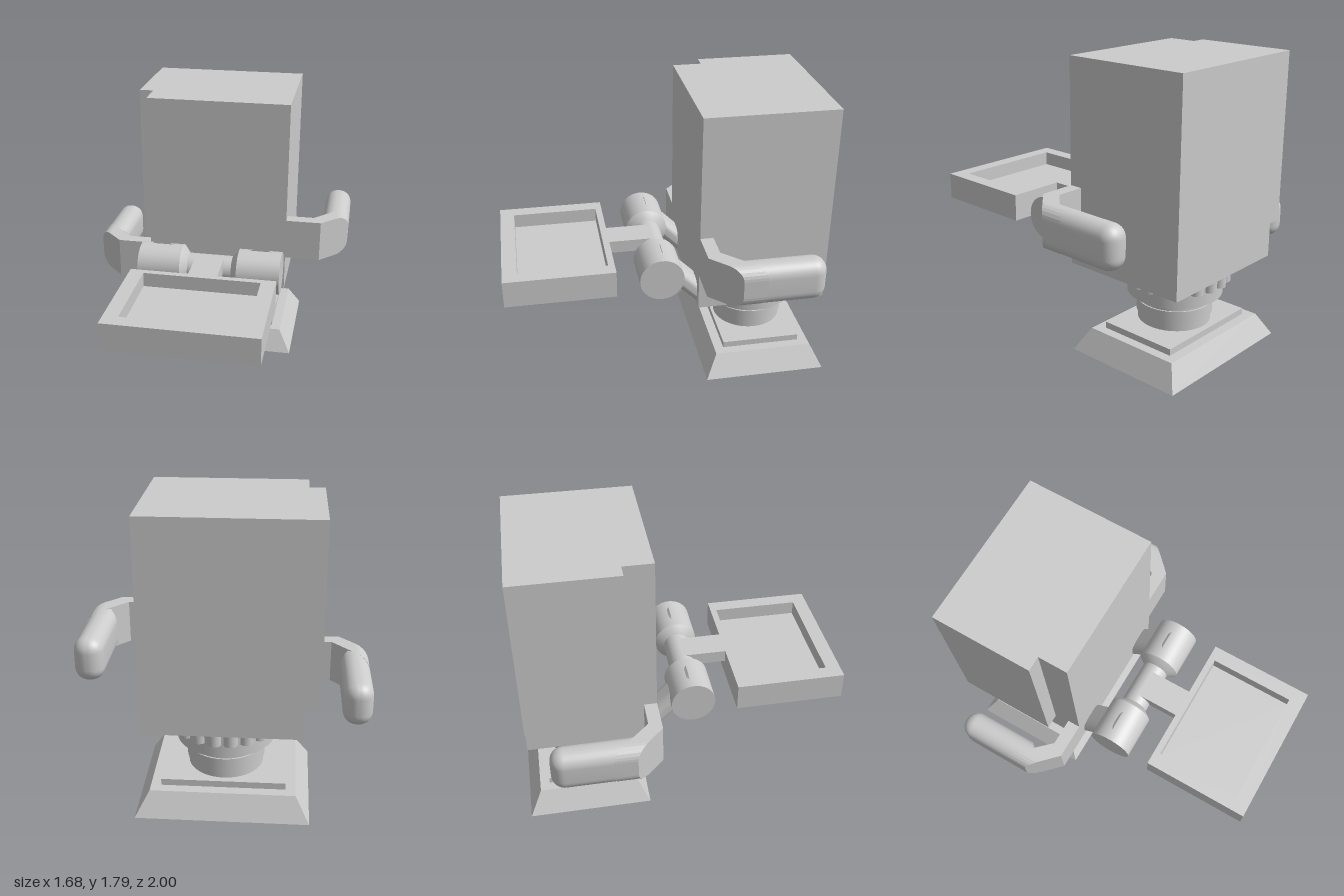
import * as THREE from 'three';
import { toCreasedNormals } from 'three/addons/utils/BufferGeometryUtils.js';
import { RoundedBoxGeometry } from 'three/addons/geometries/RoundedBoxGeometry.js';

const material = new THREE.MeshStandardMaterial({ color: 0xcccccc });

function add(parent, name, geometry, x = 0, y = 0, z = 0) {
  const mesh = new THREE.Mesh(geometry, material);
  mesh.name = name;
  mesh.position.set(x, y, z);
  parent.add(mesh);
  return mesh;
}

// Box given by its limits
function box(parent, name, x0, x1, y0, y1, z0, z1) {
  const g = new THREE.BoxGeometry(x1 - x0, y1 - y0, z1 - z0);
  return add(parent, name, g, (x0 + x1) / 2, (y0 + y1) / 2, (z0 + z1) / 2);
}

// Faceted skin over a list of four-cornered rings, capped at both ends
function loft(rings) {
  const pos = [];
  const quad = (a, b, c, d) => [a, b, c, a, c, d].forEach((p) => pos.push(...p));
  const first = rings[0], last = rings[rings.length - 1];
  quad(first[3], first[2], first[1], first[0]);
  for (let r = 0; r < rings.length - 1; r++) {
    for (let i = 0; i < 4; i++) {
      const j = (i + 1) % 4;
      quad(rings[r][i], rings[r][j], rings[r + 1][j], rings[r + 1][i]);
    }
  }
  quad(...last);
  const g = new THREE.BufferGeometry();
  g.setAttribute('position', new THREE.Float32BufferAttribute(pos, 3));
  g.computeVertexNormals();
  return g;
}

// Horizontal rectangle as a ring
const rect = (hx, hz, y, cz = 0) =>
  [[hx, y, cz + hz], [hx, y, cz - hz], [-hx, y, cz - hz], [-hx, y, cz + hz]];

function roundedRect(w, h, r) {
  const s = new THREE.Shape(), x = w / 2, y = h / 2;
  s.absarc(x - r, y - r, r, 0, Math.PI / 2);
  s.absarc(-x + r, y - r, r, Math.PI / 2, Math.PI);
  s.absarc(-x + r, -y + r, r, Math.PI, Math.PI * 1.5);
  s.absarc(x - r, -y + r, r, Math.PI * 1.5, Math.PI * 2);
  s.closePath();
  return s;
}

// Side handle: flat plate, diagonal elbow, rounded grip pointing back
function makeHandle(name, side, y) {
  const handle = new THREE.Group();
  handle.name = name;
  const front = (x) => -0.17 - Math.max(0, x - 0.67);
  const back = (x) => -0.25 - Math.max(0, x - 0.62) * 1.05;
  const r = 0.075, bend = 0.765;
  const rings = [0.44, 0.62, 0.67, 0.71, bend, 0.785, 0.805, 0.82, 0.832, 0.838, 0.84].map((x) => {
    const d = Math.max(0, x - bend);
    const h = 0.13 - r + Math.sqrt(Math.max(0, r * r - d * d));
    return [[x, -h, back(x)], [x, h, back(x)], [x, h, front(x)], [x, -h, front(x)]];
  });
  add(handle, 'handleElbow', loft(rings));

  // Grip, its front end trimmed to meet the elbow
  const grip = new RoundedBoxGeometry(0.17, 0.26, 0.5, 6, 0.08);
  grip.translate(0.755, 0, -0.59);
  const p = grip.attributes.position;
  for (let i = 0; i < p.count; i++) {
    if (p.getZ(i) > -0.59) {
      const x = p.getX(i);
      p.setZ(i, Math.min(x - 1.06, front(x) - 0.005));
    }
  }
  add(handle, 'handleGrip', toCreasedNormals(grip, 0.6));
  handle.position.y = y;
  handle.scale.x = side;
  return handle;
}

export function createModel() {
  const model = new THREE.Group();
  model.name = 'machine';

  // Housing with a shallower side panel
  box(model, 'housing', -0.45, 0.45, 0.54, 1.79, -0.97, -0.17);
  box(model, 'sidePanel', -0.54, -0.45, 0.75, 1.79, -0.97, -0.35);

  // Sloped foot, hollow below, with a raised plate on top
  const foot = loft([
    rect(0.27, 0.19, 0.15), rect(0.27, 0.19, 0.09), rect(0.34, 0.25, 0.09), rect(0.34, 0.25, 0),
    rect(0.5, 0.385, 0), rect(0.42, 0.31, 0.14), rect(0.36, 0.25, 0.14), rect(0.36, 0.25, 0.18),
  ]);
  add(model, 'foot', foot, 0, 0, -0.615);

  // Stacked column: radius, bottom, top
  const cz = -0.605;
  [
    ['neck', 0.222, 0.17, 0.37],
    ['neckRing', 0.231, 0.23, 0.31],
    ['collar', 0.29, 0.36, 0.45],
    ['knobCore', 0.308, 0.45, 0.54],
  ].forEach(([name, r, y0, y1]) =>
    add(model, name, new THREE.CylinderGeometry(r, r, y1 - y0, 48), 0, (y0 + y1) / 2, cz));

  // Grip lobes around the knob
  const lobes = 20;
  for (let i = 0; i < lobes; i++) {
    const a = ((i + 0.5) / lobes) * Math.PI * 2;
    add(model, 'knobLobe', new THREE.CylinderGeometry(0.043, 0.043, 0.09, 16),
      Math.sin(a) * 0.293, 0.495, cz + Math.cos(a) * 0.293);
  }

  // Handles, one higher than the other
  model.add(makeHandle('leftHandle', 1, 0.9));
  model.add(makeHandle('rightHandle', -1, 0.67));

  // Hinge barrels and the slanted struts that carry them
  const barrelProfile = [[0, 0.12], [0.085, 0.14], [0.135, 0.18], [0.135, 0.45], [0, 0.45]]
    .map(([r, y]) => new THREE.Vector2(r, y));
  for (const side of [1, -1]) {
    const barrel = toCreasedNormals(new THREE.LatheGeometry(barrelProfile, 40), 0.5);
    add(model, 'hingeBarrel', barrel, 0, 0.765, 0.055).rotation.z = -side * Math.PI / 2;

    const strut = new THREE.ExtrudeGeometry(roundedRect(0.18, 0.16, 0.06),
      { depth: 0.21, bevelEnabled: false, curveSegments: 8 });
    strut.applyMatrix4(new THREE.Matrix4().set(1, 0, 0, 0, 0, 1, 1, 0, 0, 0, 1, 0, 0, 0, 0, 1));
    add(model, 'strut', toCreasedNormals(strut, 0.6), side * 0.315, 0.62, -0.17);
  }
  add(model, 'hingeRod', new THREE.CylinderGeometry(0.085, 0.085, 0.3, 40), 0, 0.765, 0.055)
    .rotation.z = Math.PI / 2;

  // Tray with a sunken floor, on its arm
  box(model, 'trayArm', -0.09, 0.09, 0.77, 0.85, 0.055, 0.34);
  const tray = loft([
    rect(0.45, 0.335, 0.68, 0.665), rect(0.45, 0.335, 0.85, 0.665),
    rect(0.36, 0.27, 0.85, 0.64), rect(0.36, 0.27, 0.76, 0.64),
  ]);
  add(model, 'tray', tray);

  return model;
}
